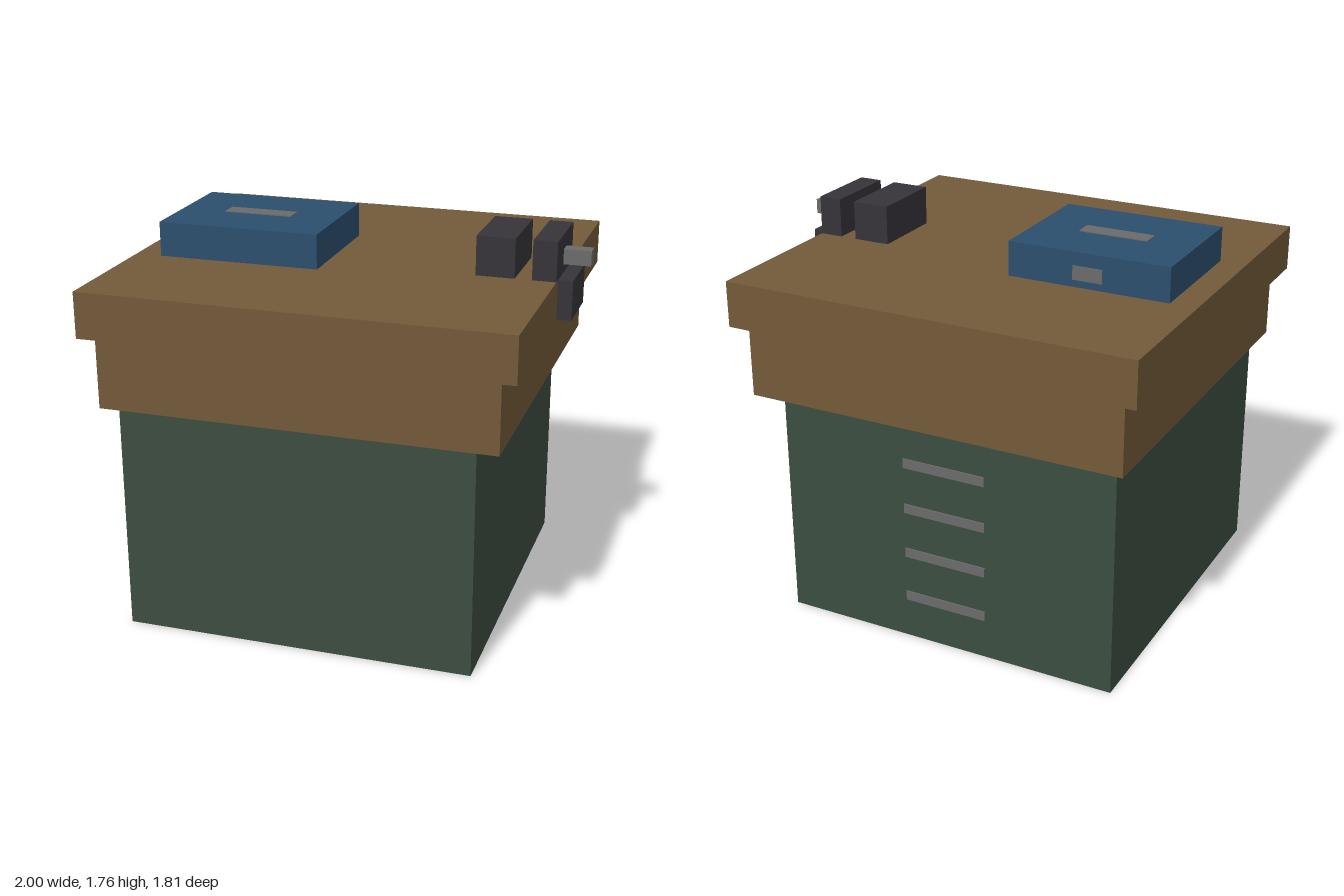
import * as THREE from 'three';

const material = (name, color) => {
  const m = new THREE.MeshStandardMaterial({ color });
  m.name = name;
  return m;
};

export function createModel() {
  const group = new THREE.Group();
  group.name = 'workbench';

  const wood = material('brown wood', 0x735a3a);
  const green = material('green cabinet', 0x3c4d40);
  green.side = THREE.DoubleSide;
  const blue = material('blue toolbox', 0x2c4f6e);
  const iron = material('dark iron', 0x36343a);
  const steel = material('grey steel', 0x6b6b6b);

  // Box given by its limits along each axis
  const block = (name, mat, [x0, x1], [y0, y1], [z0, z1]) => {
    const mesh = new THREE.Mesh(new THREE.BoxGeometry(x1 - x0, y1 - y0, z1 - z0), mat);
    mesh.position.set((x0 + x1) / 2, (y0 + y1) / 2, (z0 + z1) / 2);
    mesh.name = name;
    group.add(mesh);
    return mesh;
  };

  // Cabinet: four thin walls, open underneath
  const size = 1.58, height = 1.06, centreX = -0.09;
  const cabinet = new THREE.Group();
  cabinet.name = 'cabinet';
  cabinet.position.set(centreX, height / 2, 0);
  ['frontWall', 'leftWall', 'backWall', 'rightWall'].forEach((name, i) => {
    const wall = new THREE.Mesh(new THREE.PlaneGeometry(size, height).translate(0, 0, size / 2), green);
    wall.rotation.y = i * Math.PI / 2;
    wall.name = name;
    cabinet.add(wall);
  });
  group.add(cabinet);

  // Drawer handles on the back
  for (let i = 0; i < 4; i++) {
    const y = 0.207 + i * 0.217;
    block('drawerHandle' + (i + 1), steel, [centreX - 0.195, centreX + 0.195], [y - 0.022, y + 0.022], [-0.796, -0.788]);
  }

  // Wooden apron and top
  block('apron', wood, [-0.935, 0.81], [1.06, 1.38], [-0.863, 0.863]);
  block('benchTop', wood, [-1, 0.88], [1.38, 1.585], [-0.906, 0.906]);

  // Toolbox with a handle strip and a latch
  block('toolbox', blue, [-0.88, -0.145], [1.585, 1.74], [-0.297, 0.297]);
  block('toolboxHandle', steel, [-0.67, -0.355], [1.738, 1.744], [-0.042, 0.042]);
  block('toolboxLatch', steel, [-0.58, -0.445], [1.618, 1.68], [-0.302, -0.295]);

  // Vise at the left end
  block('viseFixedJaw', iron, [0.53, 0.70], [1.585, 1.76], [-0.175, 0.175]);
  block('viseMovingJaw', iron, [0.775, 0.88], [1.585, 1.76], [-0.175, 0.175]);
  block('viseBracket', iron, [0.88, 0.945], [1.41, 1.585], [-0.14, 0.14]);
  block('viseScrew', steel, [0.88, 1], [1.625, 1.692], [-0.032, 0.032]);

  return group;
}
